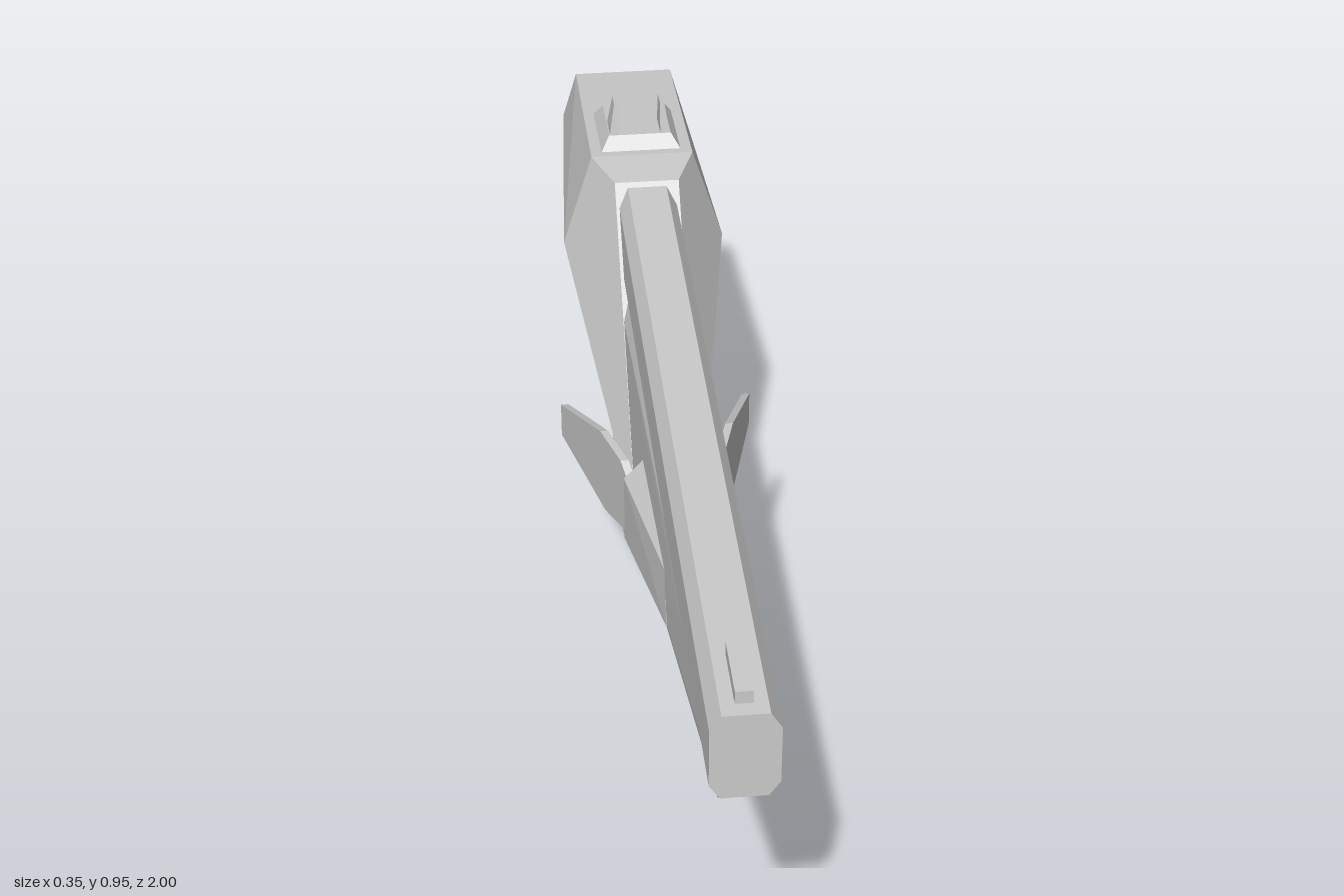
import * as THREE from 'three';
import { ConvexGeometry } from 'three/addons/geometries/ConvexGeometry.js';

const material = new THREE.MeshStandardMaterial({ color: 0xcccccc, flatShading: true });

function add(group, name, geometry) {
  const mesh = new THREE.Mesh(geometry, material);
  mesh.name = name;
  group.add(mesh);
  return mesh;
}

// Faceted solid through a few corner points
const hull = (points) => new ConvexGeometry(points.map((p) => new THREE.Vector3(...p)));

// Same, with every corner repeated on the other side of x = 0
const mirroredHull = (points) => hull(points.flatMap(([x, y, z]) => [[x, y, z], [-x, y, z]]));

// Side profile of [z, y] corners, extruded across x
function sideExtrude(profile, halfWidth) {
  const shape = new THREE.Shape(profile.map(([z, y]) => new THREE.Vector2(-z, y)));
  const geometry = new THREE.ExtrudeGeometry(shape, { depth: 2 * halfWidth, bevelEnabled: false });
  return geometry.translate(0, 0, -halfWidth).rotateY(Math.PI / 2);
}

// Closed skin over rings that all have the same number of points
function loft(rings) {
  const n = rings[0].length;
  const index = [];
  for (let r = 0; r < rings.length - 1; r++) {
    for (let i = 0; i < n; i++) {
      const a = r * n + i, b = r * n + (i + 1) % n;
      index.push(a, b, a + n, b, b + n, a + n);
    }
  }
  const last = (rings.length - 1) * n;
  for (let i = 1; i < n - 1; i++) {
    index.push(0, i + 1, i, last, last + i, last + i + 1);
  }
  const geometry = new THREE.BufferGeometry();
  geometry.setAttribute('position', new THREE.Float32BufferAttribute(rings.flat(2), 3));
  geometry.setIndex(index);
  geometry.computeVertexNormals();
  return geometry;
}

export function createModel() {
  const model = new THREE.Group();

  // Long eight-sided barrel housing
  const section = [
    [0.035, 0.705], [0.052, 0.73], [0.052, 0.832], [0.035, 0.86],
    [-0.035, 0.86], [-0.052, 0.832], [-0.052, 0.73], [-0.035, 0.705],
  ];
  const barrelShape = new THREE.Shape(section.map(([x, y]) => new THREE.Vector2(x, y)));
  add(model, 'barrel', new THREE.ExtrudeGeometry(barrelShape, { depth: 1.5, bevelEnabled: false }).translate(0, 0, -0.5));

  // Tapered keel below the barrel
  add(model, 'lowerBody', mirroredHull([
    [0.036, 0.712, 1], [0.034, 0.67, 0.96], [0.045, 0.67, 0.55],
    [0.04, 0.72, -0.4], [0.057, 0.67, -0.3], [0.058, 0.38, -0.07], [0.058, 0.4, -0.15],
  ]));

  // Wide faceted rear housing
  add(model, 'rearBody', mirroredHull([
    [0.058, 0.868, -0.45], [0.093, 0.872, -0.54], [0.092, 0.828, -0.94],
    [0.115, 0.705, -1], [0.148, 0.7, -0.53], [0.085, 0.585, -0.92],
    [0.08, 0.497, -0.55], [0.058, 0.67, -0.3], [0.058, 0.38, -0.07],
  ]));

  // Front sight blade
  add(model, 'frontSight', new THREE.BoxGeometry(0.027, 0.04, 0.11).translate(0, 0.862, 0.92));

  // Rear sight base
  add(model, 'rearSightBase', mirroredHull([
    [0.076, 0.865, -0.555], [0.076, 0.845, -0.745],
    [0.057, 0.892, -0.58], [0.057, 0.877, -0.72],
    [0.076, 0.83, -0.555], [0.076, 0.82, -0.745],
  ]));

  for (const [side, s] of [['left', 1], ['right', -1]]) {
    // Rear sight post
    add(model, side + 'SightPost', hull([
      [0.038, 0.88, -0.58], [0.057, 0.88, -0.58], [0.038, 0.87, -0.65], [0.057, 0.87, -0.65],
      [0.038, 0.95, -0.592], [0.046, 0.95, -0.592], [0.038, 0.945, -0.63], [0.046, 0.945, -0.63],
    ].map(([x, y, z]) => [s * x, y, z])));

    // Flared side fairing
    add(model, side + 'Fairing', hull([
      [0.048, 0.605, 0.35], [0.05, 0.515, 0.38], [0.088, 0.565, 0.035], [0.088, 0.435, 0.035],
      [0.05, 0.595, 0.02], [0.057, 0.4, 0], [0.03, 0.6, 0.34], [0.03, 0.52, 0.37],
      [0.03, 0.59, 0], [0.03, 0.41, 0],
    ].map(([x, y, z]) => [s * x, y, z])));

    // Swept fin: a thin plate angled outward towards the rear
    const fin = [[0.04, 0.555], [0, 0.578], [-0.1, 0.572], [-0.305, 0.49], [-0.305, 0.422], [-0.08, 0.412], [0.04, 0.445]];
    add(model, side + 'Fin', hull(fin.flatMap(([z, y]) => {
      const x = 0.088 - 0.275 * (z - 0.01);
      return [[s * x, y, z], [s * (x - 0.014), y, z]];
    })));
  }

  // Grip with chamfered rear edges; rows are front z, front y, back z, back y
  const levels = [
    [-0.718, 0.06, -0.9, 0.108], [-0.718, 0.128, -0.9, 0.128],
    [-0.675, 0.28, -0.868, 0.28], [-0.648, 0.35, -0.846, 0.38],
    [-0.664, 0.42, -0.803, 0.425], [-0.637, 0.49, -0.793, 0.48], [-0.61, 0.56, -0.835, 0.6],
  ];
  add(model, 'grip', loft(levels.map(([zf, yf, zb, yb]) => {
    const at = (x, t) => [x, yf + (yb - yf) * t, zf + (zb - zf) * t];
    return [at(-0.043, 0), at(0.043, 0), at(0.043, 0.72), at(0.022, 1), at(-0.022, 1), at(-0.043, 0.72)];
  })));

  // Angular trigger guard running from the body to the grip foot
  add(model, 'triggerGuard', sideExtrude([
    [-0.118, 0.42], [-0.118, 0.305], [-0.535, 0.004], [-0.76, 0.066],
    [-0.76, 0.1], [-0.718, 0.09], [-0.54, 0.043], [-0.15, 0.315], [-0.15, 0.42],
  ], 0.043));

  model.position.y = -0.004;
  const root = new THREE.Group();
  root.add(model);
  return root;
}
